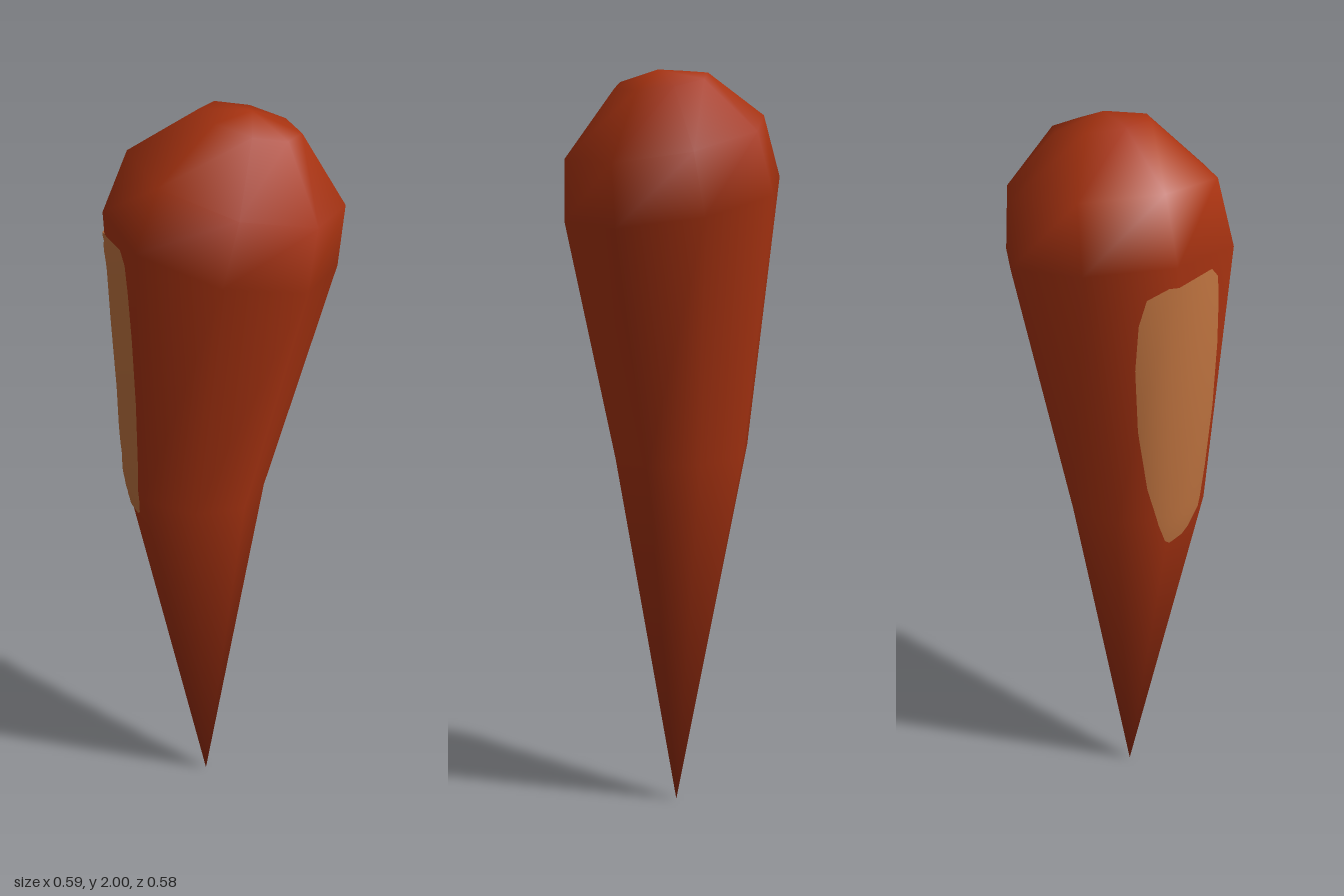
import * as THREE from 'three';

const red = new THREE.MeshStandardMaterial({ color: 0xa83311 });
red.name = 'rust red';
const tan = new THREE.MeshStandardMaterial({ color: 0xc07440, side: THREE.DoubleSide });
tan.name = 'tan';

// Eight-sided drop from tilted rings, closed by one vertex at each end
function bodyGeometry() {
  const sides = 8, phase = THREE.MathUtils.degToRad(-8.5);
  // centre x, y, z, radius, slope along x, slope along z
  const rings = [
    [-0.07, 0.985, -0.028, 0.187, -0.08, -0.055],
    [-0.003, 1.67, 0.003, 0.294, -0.175, -0.175],
    [0.028, 1.83, 0.028, 0.269, -0.19, -0.19],
    [0.058, 1.972, 0.042, 0.125, -0.2, -0.15],
  ];
  const pos = [-0.05, 0, -0.01], index = [];
  for (const [x, y, z, r, sx, sz] of rings) {
    for (let i = 0; i < sides; i++) {
      const a = phase + (i / sides) * Math.PI * 2;
      const dx = r * Math.cos(a), dz = r * Math.sin(a);
      pos.push(x + dx, y + sx * dx + sz * dz, z + dz);
    }
  }
  pos.push(0.055, 2, 0.05);
  const top = pos.length / 3 - 1;
  const at = (ring, i) => 1 + ring * sides + (i % sides);
  for (let i = 0; i < sides; i++) {
    index.push(0, at(0, i), at(0, i + 1));
    for (let k = 0; k < rings.length - 1; k++) {
      const a = at(k, i), b = at(k, i + 1), c = at(k + 1, i), d = at(k + 1, i + 1);
      index.push(a, c, b, b, c, d);
    }
    index.push(at(rings.length - 1, i), top, at(rings.length - 1, i + 1));
  }
  const g = new THREE.BufferGeometry();
  g.setAttribute('position', new THREE.Float32BufferAttribute(pos, 3));
  g.setIndex(index);
  g.computeVertexNormals();
  return g;
}

// Thin rounded patch laid on the body from the rear corner
function patchGeometry(body) {
  // height, left edge, right edge
  const outline = [
    [0.915, 0.06, 0.105], [0.93, 0.048, 0.125], [0.985, 0.028, 0.155],
    [1.105, -0.005, 0.172], [1.285, -0.033, 0.189], [1.465, -0.044, 0.194],
    [1.59, -0.039, 0.19], [1.66, -0.022, 0.183], [1.69, 0.03, 0.16],
  ];
  const s = Math.SQRT1_2, cols = 14, steps = 4;
  const across = new THREE.Vector3(-s, 0, s), out = new THREE.Vector3(-s, 0, -s);
  const ray = new THREE.Raycaster();
  const pos = [], nor = [], index = [];
  const rows = (outline.length - 1) * steps;
  for (let r = 0; r <= rows; r++) {
    const k = Math.min(Math.floor(r / steps), outline.length - 2), t = r / steps - k;
    const [y, left, right] = outline[k].map((v, i) => THREE.MathUtils.lerp(v, outline[k + 1][i], t));
    for (let c = 0; c <= cols; c++) {
      const u = THREE.MathUtils.lerp(left, right, c / cols);
      const from = across.clone().multiplyScalar(u).addScaledVector(out, 2).setY(y);
      ray.set(from, out.clone().negate());
      const hit = ray.intersectObject(body)[0];
      const p = hit.point.clone().addScaledVector(hit.face.normal, 0.005);
      pos.push(...p.toArray());
      nor.push(...(hit.normal || hit.face.normal).toArray());
      if (r < rows && c < cols) {
        const a = r * (cols + 1) + c, b = a + cols + 1;
        index.push(a, a + 1, b, a + 1, b + 1, b);
      }
    }
  }
  const g = new THREE.BufferGeometry();
  g.setAttribute('position', new THREE.Float32BufferAttribute(pos, 3));
  g.setAttribute('normal', new THREE.Float32BufferAttribute(nor, 3));
  g.setIndex(index);
  return g;
}

export function createModel() {
  const group = new THREE.Group();
  group.name = 'taperedDrop';
  const body = new THREE.Mesh(bodyGeometry(), red);
  body.name = 'body';
  const patch = new THREE.Mesh(patchGeometry(body), tan);
  patch.name = 'patch';
  group.add(body, patch);
  return group;
}
